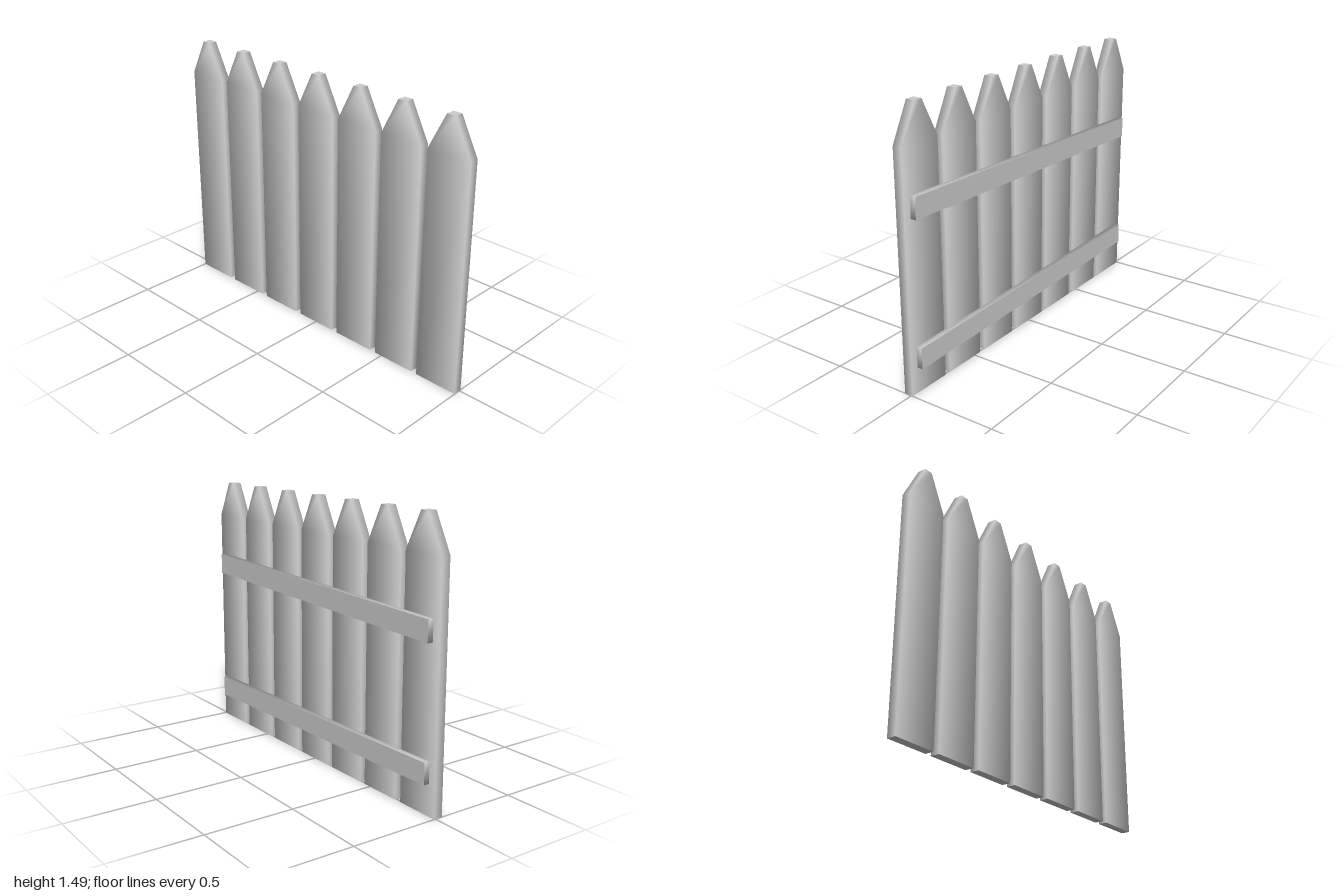
import * as THREE from 'three';

const material = new THREE.MeshStandardMaterial({ color: 0xcccccc });

// Quad shell: smooth faces share averaged corner normals, flat faces keep their own.
function shell(corners, smooth, flat) {
  const normalOf = ([a, b, c]) => {
    const u = corners[b].clone().sub(corners[a]);
    return u.cross(corners[c].clone().sub(corners[a])).normalize();
  };
  const shared = corners.map(() => new THREE.Vector3());
  smooth.forEach((q) => q.forEach((i) => shared[i].add(normalOf(q))));
  shared.forEach((n) => n.normalize());

  const positions = [], normals = [];
  const addQuad = (q, isSmooth) => {
    const n = normalOf(q);
    for (const k of [0, 1, 2, 0, 2, 3]) {
      positions.push(...corners[q[k]].toArray());
      normals.push(...(isSmooth ? shared[q[k]] : n).toArray());
    }
  };
  smooth.forEach((q) => addQuad(q, true));
  flat.forEach((q) => addQuad(q, false));
  const geometry = new THREE.BufferGeometry();
  geometry.setAttribute('position', new THREE.Float32BufferAttribute(positions, 3));
  geometry.setAttribute('normal', new THREE.Float32BufferAttribute(normals, 3));
  return geometry;
}

// Front outline repeated at the back; side quad i joins outline points i and i + 1.
function slab(outline, zBack, zFront) {
  const n = outline.length;
  const corners = [zFront, zBack].flatMap((z) => outline.map(([x, y]) => new THREE.Vector3(x, y, z)));
  const sides = outline.map((_, i) => [i, i + n, ((i + 1) % n) + n, (i + 1) % n]);
  const back = (q) => q.map((i) => i + n).reverse();
  return { corners, sides, back };
}

// Pointed board with softly shaded sides and sharp bottom and tip
function picketGeometry() {
  const w = 0.127, t = 0.025, shoulder = 1.29, top = 1.49;
  const { corners, sides, back } = slab(
    [[-w, 0], [w, 0], [w, shoulder], [t, top], [-t, top], [-w, shoulder]], -0.009, 0.041);
  const front = [[0, 1, 2, 5], [5, 2, 3, 4]];
  const edges = [1, 2, 4, 5].map((i) => sides[i]);
  return shell(corners, [...front, ...front.map(back), ...edges], [sides[0], sides[3]]);
}

// Straight rail with a flat back face
function railGeometry() {
  const l = 0.955, h = 0.058;
  const { corners, sides, back } = slab([[-l, -h], [l, -h], [l, h], [-l, h]], -0.041, -0.008);
  const front = [0, 1, 2, 3];
  return shell(corners, [front, ...sides], [back(front)]);
}

export function createModel() {
  const fence = new THREE.Group();
  fence.name = 'picketFence';

  // Seven evenly spaced pickets
  const picket = picketGeometry();
  for (let i = 0; i < 7; i++) {
    const mesh = new THREE.Mesh(picket, material);
    mesh.name = `picket${i + 1}`;
    mesh.position.x = (i - 3) * 0.291;
    fence.add(mesh);
  }

  // Two slightly crooked rails behind the pickets
  const rail = railGeometry();
  for (const [name, y, tilt] of [['lowerRail', 0.214, -0.015], ['upperRail', 0.963, 0.029]]) {
    const mesh = new THREE.Mesh(rail, material);
    mesh.name = name;
    mesh.position.y = y;
    mesh.rotation.z = tilt;
    fence.add(mesh);
  }
  return fence;
}
